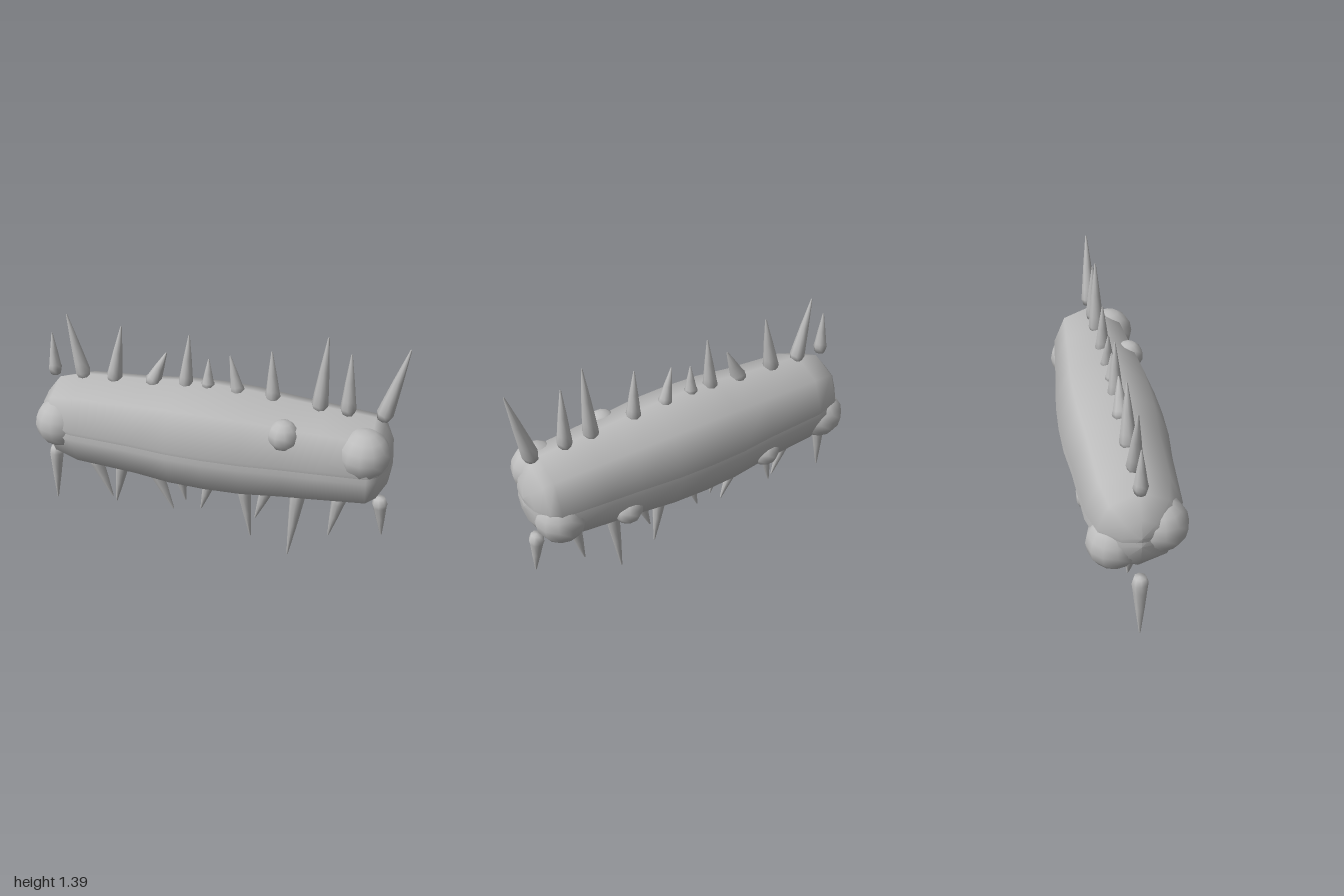
import * as THREE from 'three';

const lathe = (points, sides) =>
  new THREE.LatheGeometry(points.map(([r, y]) => new THREE.Vector2(r, y)), sides);

export function createModel() {
  const model = new THREE.Group();
  const grey = new THREE.MeshStandardMaterial({ color: 0xbcbcbc });
  grey.name = 'plain grey';

  const add = (name, geometry, x = 0, y = 0, z = 0) => {
    const mesh = new THREE.Mesh(geometry, grey);
    mesh.name = name;
    mesh.position.set(x, y, z);
    model.add(mesh);
    return mesh;
  };

  // Body: two overlapping eight-sided lobes lying along x
  const profile = [
    [0, -0.985], [0.1, -0.968], [0.2, -0.89], [0.24, -0.75], [0.26, -0.4],
    [0.281, -0.2], [0.286, 0], [0.28, 0.2], [0.258, 0.42], [0.244, 0.6],
    [0.222, 0.86], [0.185, 0.91], [0.1, 0.955], [0, 0.968],
  ];
  const lobe = lathe(profile, 8).rotateZ(-Math.PI / 2);
  add('upperBody', lobe, 0, 0.755, 0);
  add('lowerBody', lobe, 0, 0.705, 0);

  // Round knobs at the four corners
  const knob = new THREE.SphereGeometry(0.138, 12, 8);
  [
    [-0.858, 0.735, 0.11], [0.825, 0.82, 0.112],
    [0.825, 0.655, -0.112], [-0.845, 0.64, -0.112],
  ].forEach(p => add('cornerKnob', knob, ...p));

  // Low bumps that barely break the skin
  const bump = new THREE.SphereGeometry(0.085, 10, 7);
  [[0.415, 0.89, 0.163], [0.47, 0.575, -0.163], [-0.42, 0.575, -0.163]]
    .forEach(p => add('skinBump', bump, ...p));

  // Spikes: base x, base y, tip x, tip y, radius
  const addSpike = (name, [bx, by, tx, ty, r]) => {
    const base = new THREE.Vector3(bx, by, 0);
    const along = new THREE.Vector3(tx, ty, 0).sub(base);
    const h = along.length();
    const geometry = lathe([
      [0, 0], [r * 0.75, 0.004], [r, 0.04], [r * 0.86, 0.25 * h],
      [r * 0.58, 0.55 * h], [r * 0.1, 0.985 * h], [0, h],
    ], 8);
    const mesh = add(name, geometry, bx, by, 0);
    mesh.quaternion.setFromUnitVectors(new THREE.Vector3(0, 1, 0), along.normalize());
  };

  [
    [-0.915, 0.97, -0.915, 1.22, 0.038],
    [-0.74, 0.97, -0.82, 1.34, 0.042],
    [-0.57, 0.97, -0.51, 1.31, 0.045],
    [-0.355, 0.98, -0.262, 1.19, 0.046],
    [-0.16, 0.99, -0.135, 1.31, 0.041],
    [-0.035, 1.0, -0.03, 1.185, 0.037],
    [0.135, 0.99, 0.085, 1.22, 0.039],
    [0.32, 0.98, 0.305, 1.275, 0.041],
    [0.565, 0.97, 0.59, 1.393, 0.044],
    [0.715, 0.97, 0.71, 1.315, 0.042],
    [0.893, 0.97, 0.995, 1.38, 0.044],
  ].forEach(s => addSpike('topSpike', s));

  [
    [-0.955, 0.492, -0.98, 0.125, 0.042],
    [-0.73, 0.49, -0.62, 0.2, 0.043],
    [-0.54, 0.49, -0.6, 0.17, 0.043],
    [-0.37, 0.48, -0.245, 0.185, 0.045],
    [-0.207, 0.47, -0.17, 0.26, 0.041],
    [-0.015, 0.46, -0.08, 0.22, 0.04],
    [0.165, 0.46, 0.215, 0.085, 0.044],
    [0.32, 0.48, 0.24, 0.22, 0.043],
    [0.485, 0.49, 0.435, 0, 0.045],
    [0.715, 0.49, 0.66, 0.185, 0.043],
    [0.92, 0.495, 0.95, 0.25, 0.042],
  ].forEach(s => addSpike('bottomSpike', s));

  return model;
}
